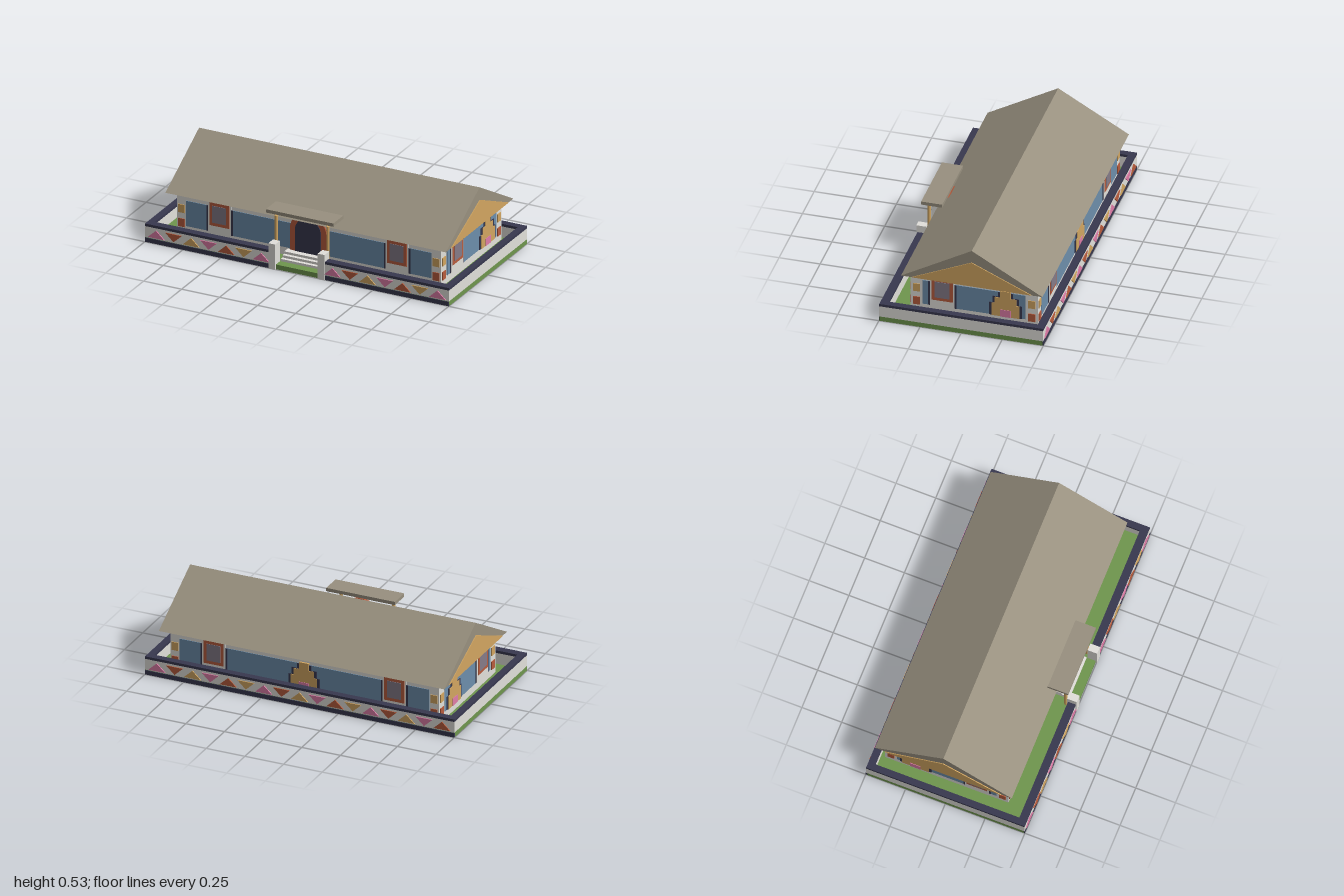
import * as THREE from 'three';

const mat = (name, color) => {
  const m = new THREE.MeshStandardMaterial({ color });
  m.name = name;
  return m;
};

export function createModel() {
  const white = mat('plaster white', 0xe2e0db);
  const blue = mat('panel blue', 0x6d8eab);
  const red = mat('terracotta', 0xb85c3d);
  const ochre = mat('ochre', 0xd2a661);
  const pink = mat('pink', 0xdf7da8);
  const navy = mat('navy', 0x38384f);
  const grass = mat('grass green', 0x6f964e);
  const stone = mat('roof grey', 0x98907f);
  const glass = mat('window glass', 0x857b88);

  const model = new THREE.Group();
  model.name = 'house';

  const add = (parent, name, geo, m) => {
    const mesh = new THREE.Mesh(geo, m);
    mesh.name = name;
    parent.add(mesh);
    return mesh;
  };
  // Box given by its limits on each axis
  const box = (parent, name, m, x0, x1, y0, y1, z0, z1) => {
    const mesh = add(parent, name, new THREE.BoxGeometry(x1 - x0, y1 - y0, z1 - z0), m);
    mesh.position.set((x0 + x1) / 2, (y0 + y1) / 2, (z0 + z1) / 2);
    return mesh;
  };
  const group = (name, parent = model) => {
    const g = new THREE.Group();
    g.name = name;
    parent.add(g);
    return g;
  };
  const polygon = (pts) => new THREE.Shape(pts.map(([x, y]) => new THREE.Vector2(x, y)));
  const extrude = (shape, depth) =>
    new THREE.ExtrudeGeometry(shape, { depth, bevelEnabled: false, curveSegments: 16 });

  // Lawn
  box(model, 'lawn', grass, -1, 1, 0, 0.03, -0.495, 0.495);

  // Boundary wall: plaster with a navy cap, open at the gate
  const fence = group('boundaryWall');
  const wallRun = (name, x0, x1, z0, z1) => {
    box(fence, name, white, x0, x1, 0.03, 0.1, z0, z1);
    box(fence, name + 'Cap', navy, x0, x1, 0.1, 0.116, z0, z1);
  };
  wallRun('backWall', -1, 1, -0.498, -0.455);
  for (const s of [-1, 1]) {
    const [a, b] = s < 0 ? [-1, -0.16] : [0.16, 1];
    wallRun('frontWall', a, b, 0.45, 0.498);
    box(fence, 'frontBaseBand', navy, a, b, 0, 0.027, 0.49, 0.5);
    const [c, d] = s < 0 ? [-1, -0.96] : [0.96, 1];
    wallRun('sideWall', c, d, -0.455, 0.45);
    box(fence, 'gatePost', white, s * 0.1625 - 0.0225, s * 0.1625 + 0.0225, 0, 0.162, 0.445, 0.505);
  }
  box(fence, 'backBaseBand', navy, -1, 1, 0, 0.027, -0.5, -0.49);

  // Painted triangles, alternately pointing up and down
  const triColours = [pink, red, ochre];
  const triangles = (parent, start, count, z) => {
    for (let i = 0; i < count; i++) {
      const [base, tip] = i % 2 ? [0.087, 0.037] : [0.037, 0.087];
      const x = start + i * 0.1152;
      const pts = [[x - 0.054, base], [x + 0.054, base], [x, tip]];
      add(parent, 'wallTriangle', extrude(polygon(pts), 0.007), triColours[i % 3]).position.z = z;
    }
  };
  triangles(fence, -0.925, 7, 0.497);
  triangles(fence, 0.235, 7, 0.497);
  const backTriangles = group('backTriangles', fence);
  backTriangles.rotation.y = Math.PI;
  triangles(backTriangles, -0.922, 17, 0.497);

  // House body
  const zc = -0.0425, halfX = 0.868, halfZ = 0.3875;
  box(model, 'houseBody', white, -halfX, halfX, 0.03, 0.29, zc - halfZ, zc + halfZ);

  // Roof prism and gable plates
  const gable = (hz, y0, y1) => polygon([[-hz, y0], [hz, y0], [0, y1]]);
  const roof = add(model, 'roof', extrude(gable(0.43, 0.285, 0.53), 1.846), stone);
  roof.rotation.y = Math.PI / 2;
  roof.position.set(-0.923, 0, zc);
  for (const s of [-1, 1]) {
    const plate = add(model, 'gablePanel', extrude(gable(0.365, 0.287, 0.45), 0.006), ochre);
    plate.rotation.y = s * Math.PI / 2;
    plate.position.set(s * 0.922, 0, zc);
  }

  // Facade decoration, laid out with u across and z outwards
  const plate = (g, name, m, u, w, y0, y1, depth) =>
    box(g, name, m, u - w / 2, u + w / 2, y0, y1, 0, depth);
  const windowAt = (g, u) => {
    const w = group('window', g);
    plate(w, 'windowShadowLine', navy, u, 0.172, 0.08, 0.242, 0.006);
    plate(w, 'windowSurround', white, u, 0.15, 0.08, 0.28, 0.009);
    plate(w, 'windowFrame', red, u, 0.13, 0.123, 0.271, 0.012);
    plate(w, 'windowGlass', glass, u, 0.09, 0.143, 0.251, 0.015);
  };
  const motifAt = (g, u) => {
    const m = group('steppedMotif', g);
    [[0.2, 0.165], [0.162, 0.21], [0.09, 0.242]].forEach(([w, top]) =>
      plate(m, 'motifOutline', navy, u, w, 0.08, top, 0.008));
    [[0.17, 0.165], [0.13, 0.207], [0.063, 0.253]].forEach(([w, top]) =>
      plate(m, 'motifStep', ochre, u, w, 0.08, top, 0.012));
    plate(m, 'motifBase', pink, u, 0.066, 0.08, 0.127, 0.015);
  };
  const facade = (name, half, panelHalf, angle, x, z, windows, motifs) => {
    const g = group(name);
    g.position.set(x, 0, z);
    g.rotation.y = angle;
    plate(g, 'bluePanel', blue, 0, panelHalf * 2, 0.08, 0.242, 0.004);
    for (const s of [-1, 1]) {
      const u = s * (half + panelHalf) / 2;
      plate(g, 'cornerSquareUpper', ochre, u, 0.042, 0.16, 0.212, 0.005);
      plate(g, 'cornerSquareLower', red, u, 0.042, 0.07, 0.122, 0.005);
    }
    windows.forEach((u) => windowAt(g, u));
    motifs.forEach((u) => motifAt(g, u));
  };
  facade('frontFacade', halfX, 0.807, 0, 0, zc + halfZ, [-0.584, 0.584], []);
  facade('backFacade', halfX, 0.807, Math.PI, 0, zc - halfZ, [-0.584, 0.584], [0]);
  facade('leftFacade', halfZ, 0.3125, Math.PI / 2, halfX, zc, [-0.1925], [0.1925]);
  facade('rightFacade', halfZ, 0.3125, -Math.PI / 2, -halfX, zc, [0.1925], [-0.1925]);

  // Arched doorway
  const arch = (r) => {
    const s = new THREE.Shape();
    s.moveTo(-r, 0.03);
    s.lineTo(r, 0.03);
    s.lineTo(r, 0.21);
    s.absarc(0, 0.21, r, 0, Math.PI, false);
    s.closePath();
    return s;
  };
  add(model, 'doorArch', extrude(arch(0.12), 0.017), red).position.z = 0.339;
  add(model, 'door', extrude(arch(0.085), 0.02), navy).position.z = 0.34;

  // Entrance steps
  [[0.075, 0.395], [0.06, 0.418], [0.045, 0.44]].forEach(([top, z]) =>
    box(model, 'entranceStep', white, -0.137, 0.137, 0.03, top, 0.35, z));

  // Porch canopy and columns
  box(model, 'porchCanopy', stone, -0.222, 0.222, 0.335, 0.356, 0.337, 0.465);
  for (const s of [-1, 1]) {
    const column = add(model, 'porchColumn', new THREE.CylinderGeometry(0.01, 0.01, 0.285, 12), ochre);
    column.position.set(s * 0.17, 0.1725, 0.431);
  }

  return model;
}
